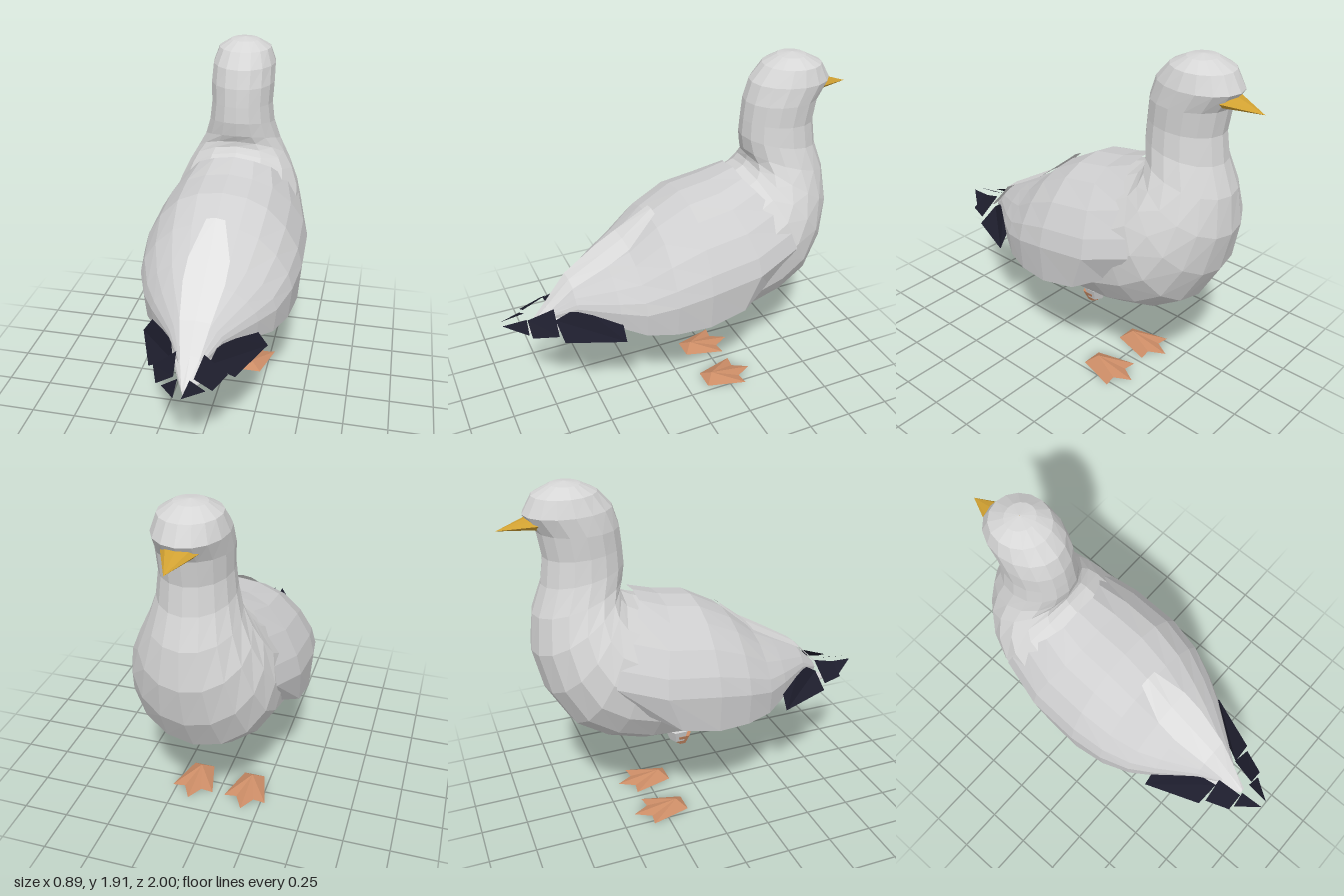
import * as THREE from 'three';

const mat = (name, color, side = THREE.FrontSide) => {
  const m = new THREE.MeshStandardMaterial({ color, side });
  m.name = name;
  return m;
};

// Faceted geometry from triangle corners
function facets(points) {
  const g = new THREE.BufferGeometry().setFromPoints(points);
  g.computeVertexNormals();
  return g;
}

// Skin between consecutive rows of points
function loft(rows) {
  const out = [];
  for (let i = 0; i < rows.length - 1; i++) {
    for (let j = 0; j < rows[i].length - 1; j++) {
      const a = rows[i][j], b = rows[i][j + 1], c = rows[i + 1][j + 1], d = rows[i + 1][j];
      out.push(a, b, c, a, c, d);
    }
  }
  return facets(out);
}

// Fan over an outline of [x, y, z] corners, mirrored by s
function fan(corners, s = 1) {
  const p = corners.map(([x, y, z]) => new THREE.Vector3(x * s, y, z));
  const out = [];
  for (let i = 1; i < p.length - 1; i++) {
    out.push(...(s > 0 ? [p[0], p[i], p[i + 1]] : [p[0], p[i + 1], p[i]]));
  }
  return facets(out);
}

export function createModel() {
  const model = new THREE.Group();
  model.name = 'bird';
  const plumage = mat('pale grey plumage', 0xd6d6d6);
  const wingGrey = mat('wing grey', 0xcfcfd0);
  const tailWhite = mat('tail white', 0xdfdfdf, THREE.DoubleSide);
  const black = mat('wing tip black', 0x1d1d2c, THREE.DoubleSide);
  const yellow = mat('beak yellow', 0xd2a232);
  const orange = mat('foot orange', 0xcb8c66, THREE.DoubleSide);
  const add = (name, geometry, material, parent = model) => {
    const mesh = new THREE.Mesh(geometry, material);
    mesh.name = name;
    parent.add(mesh);
  };

  // Body, neck and head: oval rings as [back z, back y, belly z, belly y, half width]
  const rings = [
    [0.86, 0.59, 0.86, 0.575, 0.01], [0.78, 0.62, 0.78, 0.57, 0.05],
    [0.62, 0.71, 0.62, 0.565, 0.13], [0.42, 0.84, 0.45, 0.56, 0.2],
    [0.25, 0.98, 0.28, 0.54, 0.27], [0.08, 1.12, 0.1, 0.5, 0.34],
    [-0.1, 1.22, -0.12, 0.475, 0.38], [-0.25, 1.27, -0.35, 0.49, 0.39],
    [-0.34, 1.3, -0.55, 0.55, 0.385], [-0.4, 1.33, -0.72, 0.66, 0.37],
    [-0.42, 1.36, -0.835, 0.86, 0.33], [-0.42, 1.39, -0.885, 1.08, 0.275],
    [-0.4, 1.43, -0.865, 1.28, 0.222], [-0.385, 1.51, -0.81, 1.43, 0.188],
    [-0.39, 1.6, -0.79, 1.57, 0.175], [-0.4, 1.7, -0.81, 1.7, 0.18],
    [-0.43, 1.8, -0.87, 1.79, 0.177], [-0.5, 1.88, -0.82, 1.875, 0.147],
    [-0.58, 1.92, -0.73, 1.92, 0.08], [-0.655, 1.932, -0.66, 1.932, 0.001],
  ];
  const sides = 16;
  add('body', loft(rings.map(([tz, ty, bz, by, w]) =>
    Array.from({ length: sides + 1 }, (_, j) => {
      const a = (j / sides) * Math.PI * 2, k = (1 + Math.cos(a)) / 2;
      return new THREE.Vector3(Math.sin(a) * w, by + (ty - by) * k, bz + (tz - bz) * k);
    }))), plumage);

  // Folded wings over the back: stations as [z, ridge y, half width, lower edge y]
  const stations = [
    [-0.34, 1.33, 0.375, 0.78], [-0.2, 1.285, 0.44, 0.69], [-0.02, 1.255, 0.447, 0.645],
    [0.16, 1.155, 0.42, 0.635], [0.31, 1.025, 0.36, 0.635], [0.43, 0.955, 0.285, 0.67],
    [0.62, 0.845, 0.14, 0.71], [0.74, 0.72, 0.06, 0.68],
  ];
  const across = [0, 0.3, 0.55, 0.78, 0.94, 1, 0.96];
  const height = [1, 0.97, 0.89, 0.72, 0.52, 0.35, 0];
  const forward = [0, 0, 0.04, 0.12, 0.19, 0.21, 0.05];
  add('foldedWings', loft(stations.map(([z, top, w, low], i) =>
    Array.from({ length: 13 }, (_, n) => {
      const j = Math.abs(n - 6), s = Math.sign(6 - n);
      const shift = forward[j] * Math.max(0, 1 - i / 2);
      return new THREE.Vector3(s * w * across[j], low + (top - low) * height[j], z - shift);
    }))), wingGrey);

  // Pale tail feathers lying on the rump: [z, y, half width]
  const rump = [[0.14, 1.185, 0.05], [0.31, 1.04, 0.11], [0.43, 0.97, 0.11],
    [0.62, 0.86, 0.08], [0.74, 0.735, 0.05], [0.86, 0.62, 0.015]];
  add('tailFeathers', loft(rump.map(([z, y, w]) =>
    [1, 0, -1].map((s) => new THREE.Vector3(s * w, y - Math.abs(s) * 0.008, z)))), tailWhite);

  // Beak: wide flattened cone, pointing down slightly
  const beakGeo = new THREE.ConeGeometry(1, 1, 8).toNonIndexed();
  beakGeo.scale(0.125, 0.27, 0.05).rotateX(-Math.PI / 2 - 0.14).translate(0, 1.742, -0.865);
  beakGeo.computeVertexNormals();
  add('beak', beakGeo, yellow);

  // Black primaries in three steps towards the tip
  const primaries = [
    [[0.335, 0.62, 0.42], [0.22, 0.625, 0.72], [0.09, 0.685, 0.73], [0.135, 0.775, 0.6], [0.26, 0.73, 0.42]],
    [[0.19, 0.65, 0.74], [0.14, 0.645, 0.87], [0.05, 0.7, 0.87], [0.07, 0.745, 0.73]],
    [[0.11, 0.645, 0.88], [0.02, 0.68, 1.0], [0.03, 0.69, 0.87]],
  ];
  // Webbed foot outline as [x, z]
  const web = [[-0.06, -0.12], [-0.12, -0.34], [-0.05, -0.33], [0, -0.42],
    [0.05, -0.33], [0.12, -0.34], [0.06, -0.12], [-0.06, -0.12]];
  const sole = web.map(([x, z]) => [x, 0.02, z]);

  for (const [side, s] of [['left', 1], ['right', -1]]) {
    primaries.forEach((p, i) => add(`${side}Primary${i + 1}`, fan(p, s), black));

    const leg = new THREE.Group();
    leg.name = `${side}Leg`;
    leg.position.x = 0.155 * s;
    model.add(leg);
    // Feathered thigh and the stub of the shank
    const stub = (name, rTop, rBottom, top, bottom, z, m) => {
      const g = new THREE.CylinderGeometry(rTop, rBottom, top - bottom, 6).toNonIndexed();
      g.translate(0, (top + bottom) / 2, z);
      g.computeVertexNormals();
      add(name, g, m, leg);
    };
    stub(`${side}Thigh`, 0.07, 0.045, 0.54, 0.472, -0.155, plumage);
    stub(`${side}Shank`, 0.06, 0.03, 0.505, 0.445, -0.135, orange);
    // Foot rising to a low peak near the heel
    add(`${side}FootTop`, fan([[0, 0.06, -0.17], ...[...sole].reverse()]), orange, leg);
    add(`${side}FootSole`, fan([[0, 0.02, -0.2], ...sole]), orange, leg);
  }
  return model;
}
